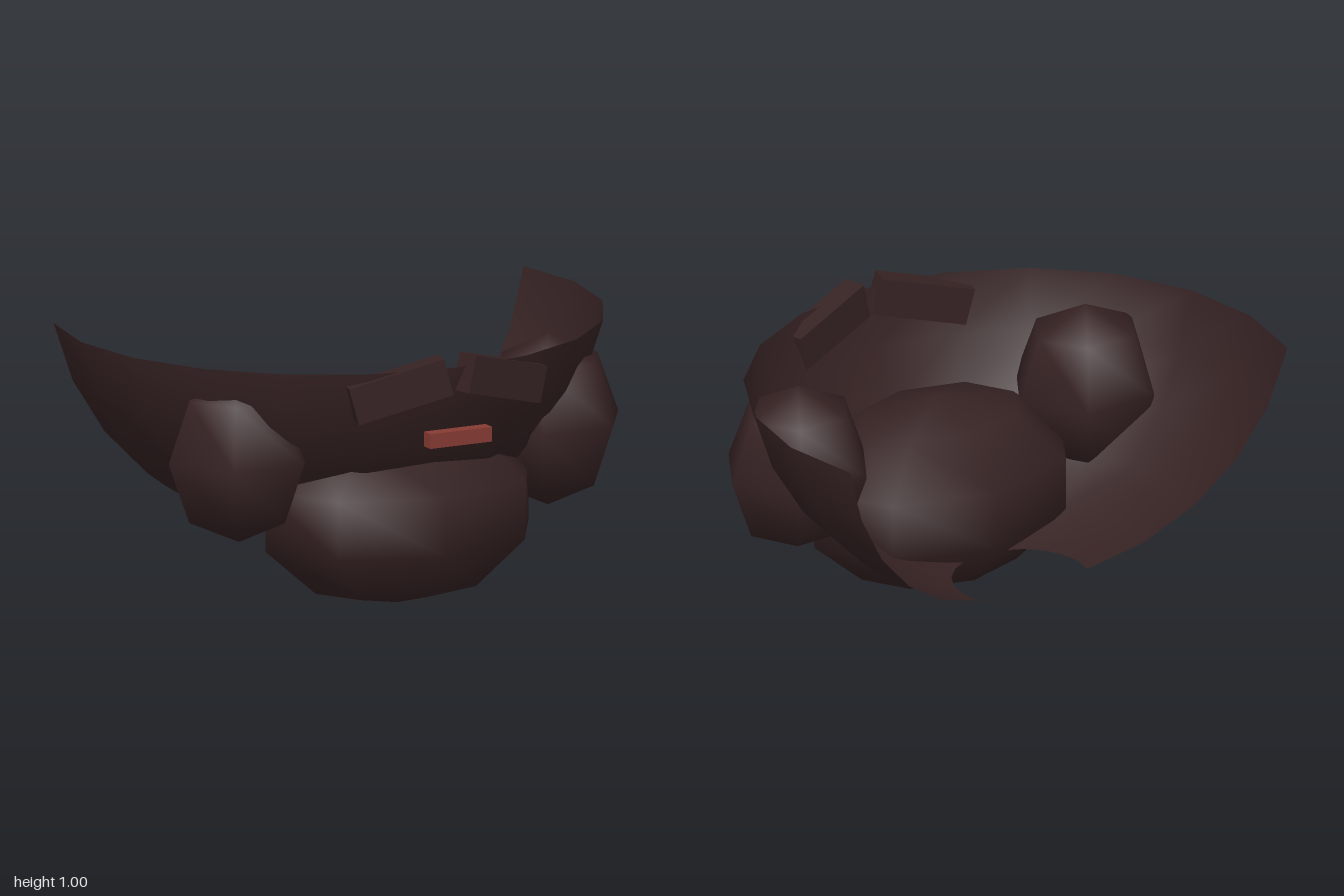
import * as THREE from 'three';

export function createModel() {
  const model = new THREE.Group();
  model.name = 'mask';

  const brown = new THREE.MeshStandardMaterial({ color: 0x362223 });
  brown.name = 'dark brown';
  const shellBrown = new THREE.MeshStandardMaterial({ color: 0x362223, side: THREE.DoubleSide });
  shellBrown.name = 'dark brown shell';
  const red = new THREE.MeshStandardMaterial({ color: 0x873b33 });
  red.name = 'dull red';

  function add(name, geometry, material, position, scale = [1, 1, 1]) {
    const mesh = new THREE.Mesh(geometry, material);
    mesh.name = name;
    mesh.position.set(...position);
    mesh.scale.set(...scale);
    model.add(mesh);
    return mesh;
  }

  // Open bowl wrapping the front and sides, from below its equator to a hole at the bottom
  const rim = THREE.MathUtils.degToRad(101);
  const hole = THREE.MathUtils.degToRad(165.8);
  add('shell',
    new THREE.SphereGeometry(1, 12, 5, -Math.PI * 0.1, Math.PI * 1.2, rim, hole - rim),
    shellBrown, [0, 1.146, -0.36], [1.0187, 0.989, 0.996]);

  // Large rounded muzzle pushing through the lower front
  add('muzzle', new THREE.SphereGeometry(1, 8, 5), brown, [0, 0.353, 0.165], [0.56, 0.353, 0.395]);

  // Mirrored cheeks and slanted brows
  for (const [side, s] of [['left', 1], ['right', -1]]) {
    add(side + 'Cheek', new THREE.SphereGeometry(1, 6, 4), brown,
      [s * 0.625, 0.6, 0.139], [0.285, 0.315, 0.264]);
    const brow = add(side + 'Brow', new THREE.BoxGeometry(0.36, 0.138, 0.087), brown,
      [s * 0.205, 0.888, 0.567]);
    brow.rotation.set(0, s * 0.26, -s * 0.26);
  }

  // Small bar floating in front, below the brows
  add('frontBar', new THREE.BoxGeometry(0.25, 0.054, 0.05), red, [0, 0.707, 0.632]);

  return model;
}
